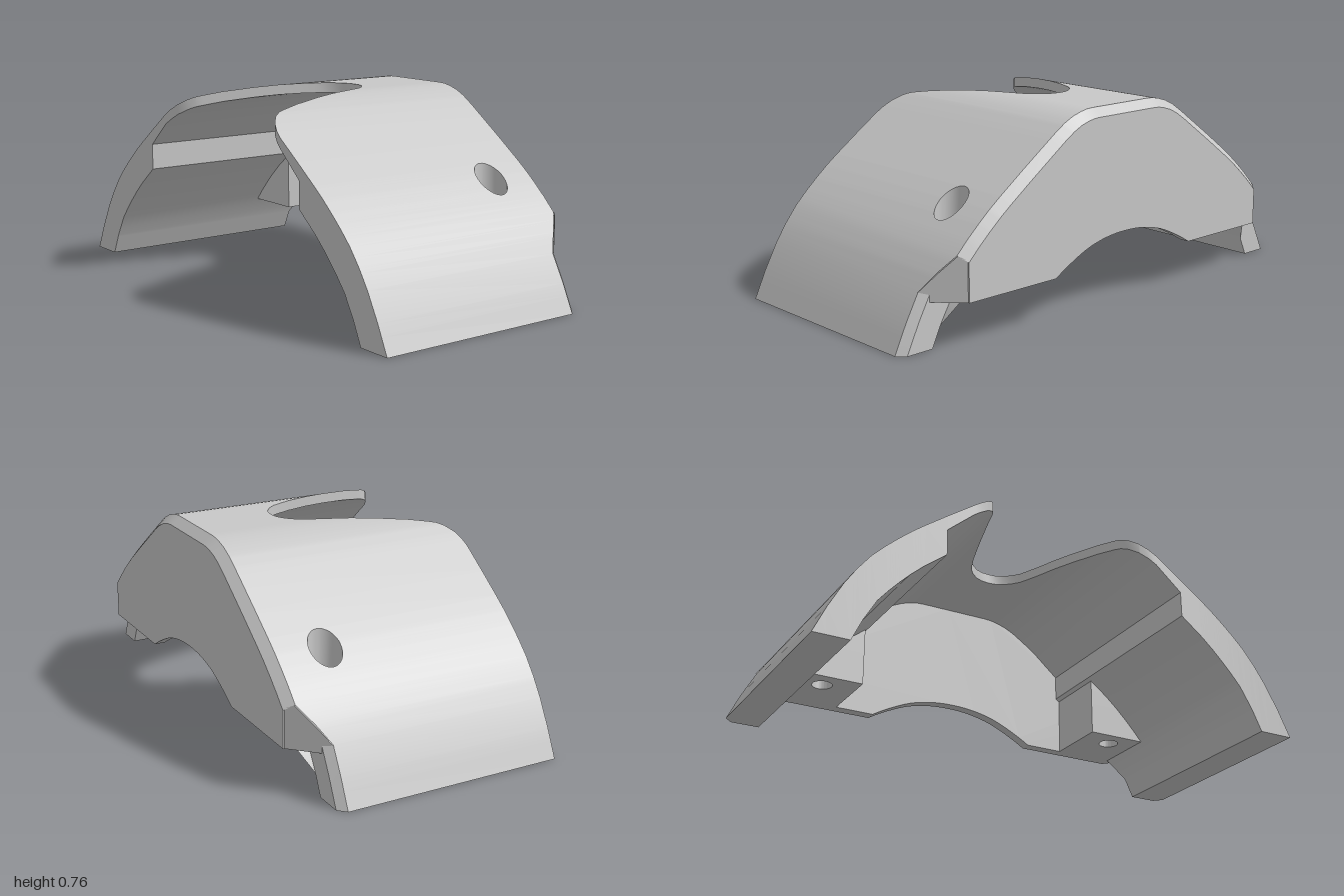
import * as THREE from 'three';
import { toCreasedNormals } from 'three/addons/utils/BufferGeometryUtils.js';

// Half profiles, keyed by distance |z| from the centre plane
const OUTER = [[0, .765], [.15, .765], [.18, .763], [.21, .757], [.25, .745], [.29, .726], [.34, .694], [.4, .652],
  [.5, .582], [.6, .51], [.65, .472], [.7, .43], [.75, .385], [.8, .335], [.85, .272], [.895, .205], [.95, .105], [1, 0]];
const INNER = [[.51, .415], [.6, .345], [.65, .3], [.69, .26], [.73, .217], [.77, .17], [.82, .085], [.86, 0], [1, 0]];
const SKIN = [[0, .04], [.4, .04], [.51, .058]];
const SLOT = [[0, .145], [.03, .142], [.06, .13], [.09, .106], [.115, .075], [.13, .04], [.15, -.01], [.275, -.4],
  [.285, -.425], [.305, -.455], [.335, -.48], [.37, -.495], [.4, -.5], [1, -.5]];
const EDGE = [[0, .465], [.8, .465], [.895, .37], [1, .37]];
const INNER_EDGE = [[0, .455], [.77, .455], [.825, .4], [.97, .4], [1, .37]];
const STEP = .51, HX = .273, HZ = .66, R = .062, RIM = .4, BACK = .455, BASE = .17;

function lerp(table, z) {
  const a = Math.abs(z);
  let i = 1;
  while (i < table.length - 1 && table[i][0] < a) i++;
  const [p, q] = [table[i - 1], table[i]];
  return p[1] + (q[1] - p[1]) * (a - p[0]) / (q[0] - p[0]);
}
const top = z => lerp(OUTER, z);
const under = (z, thin) => thin ? top(z) - lerp(SKIN, z) : lerp(INNER, z);
const holeHalf = z => Math.sqrt(Math.max(0, R * R - (Math.abs(z) - HZ) ** 2));

// Collects quads and triangles of one surface
class Surface {
  constructor() { this.v = []; }
  tri(...p) { p.forEach(c => this.v.push(...c)); }
  quad(a, b, c, d) { this.tri(a, b, c); this.tri(a, c, d); }
  geometry() {
    const g = new THREE.BufferGeometry();
    g.setAttribute('position', new THREE.Float32BufferAttribute(this.v, 3));
    return toCreasedNormals(g, .55);
  }
}

export function createModel() {
  const group = new THREE.Group();
  const grey = new THREE.MeshStandardMaterial({ color: 0xc8c8c8, side: THREE.DoubleSide });
  grey.name = 'grey';
  const add = (name, geometry) => {
    const mesh = new THREE.Mesh(geometry, grey);
    mesh.name = name;
    group.add(mesh);
  };

  // Slices along z at every profile break and round the holes
  const stops = new Set();
  for (const t of [OUTER, INNER, SLOT, EDGE, INNER_EDGE]) t.forEach(p => stops.add(p[0].toFixed(4)));
  for (let i = 0; i <= 16; i++) stops.add((HZ - R * Math.cos(Math.PI * i / 16)).toFixed(4));
  const half = [...stops].map(Number).sort((a, b) => a - b);
  const zs = [...half.slice(1).reverse().map(z => -z), ...half];

  // Shell skins, slot and hole walls
  const skin = new Surface(), lining = new Surface(), walls = new Surface(), bores = new Surface();
  for (let i = 0; i < zs.length - 1; i++) {
    const a = zs[i], b = zs[i + 1], mid = Math.abs(a + b) / 2, thin = mid < STEP;
    const P = (x, z) => [x, top(z), z], Q = (x, z) => [x, under(z, thin), z];
    const xa = lerp(SLOT, a), xb = lerp(SLOT, b), ha = holeHalf(a), hb = holeHalf(b);
    const inHole = Math.abs(mid - HZ) < R;
    const spans = edge => {
      const ea = lerp(edge, a), eb = lerp(edge, b);
      return inHole ? [[xa, HX - ha, xb, HX - hb], [HX + ha, ea, HX + hb, eb]] : [[xa, ea, xb, eb]];
    };
    for (const [l, r, l2, r2] of spans(EDGE))
      skin.quad(P(l, a), P(l2, b), P(r2, b), P(r, a));
    for (const [l, r, l2, r2] of spans(INNER_EDGE))
      lining.quad(Q(l, a), Q(r, a), Q(r2, b), Q(l2, b));
    walls.quad(P(xa, a), Q(xa, a), Q(xb, b), P(xb, b));
    if (inHole) {
      bores.quad(P(HX - ha, a), P(HX - hb, b), Q(HX - hb, b), Q(HX - ha, a));
      bores.quad(P(HX + ha, a), Q(HX + ha, a), Q(HX + hb, b), P(HX + hb, b));
    }
  }
  add('outerSkin', skin.geometry());
  add('innerSkin', lining.geometry());
  add('slotWalls', walls.geometry());
  add('boreWalls', bores.geometry());

  // Inset copy of the roof line for the bevelled end
  const inset = z => {
    const s = (top(z + .004) - top(z - .004)) / .008, n = Math.hypot(1, s);
    return [z + s / n * .032, top(z) - .032 / n];
  };
  const roof = zs.filter(z => Math.abs(z) <= .8);
  const bevel = new Surface();
  for (let i = 0; i < roof.length - 1; i++) {
    const [a, b] = [roof[i], roof[i + 1]], [za, ya] = inset(a), [zb, yb] = inset(b);
    bevel.quad([.465, top(a), a], [.465, top(b), b], [.5, yb, zb], [.5, ya, za]);
  }
  add('endBevel', bevel.geometry());

  // End plate with an arched lower edge
  const line = roof.map(inset);
  const arch = new THREE.SplineCurve([[.365, BASE], [.3, .207], [.2, .252], [.1, .276], [0, .283],
    [-.1, .276], [-.2, .252], [-.3, .207], [-.365, BASE]].map(p => new THREE.Vector2(...p))).getPoints(32);
  const outline = [...line.map(p => new THREE.Vector2(...p)),
    new THREE.Vector2(line.at(-1)[0], BASE), ...arch, new THREE.Vector2(line[0][0], BASE)];
  // Shape x becomes -z after the turn; the outline is symmetric
  const plate = new THREE.ExtrudeGeometry(new THREE.Shape(outline), { depth: .5 - BACK, bevelEnabled: false });
  plate.rotateY(Math.PI / 2).translate(BACK, 0, 0);
  add('endPlate', toCreasedNormals(plate, .4));

  for (const s of [1, -1]) {
    const side = s > 0 ? 'front' : 'back';

    // Step where the thin roof meets the thick leg
    const step = new Surface(), stepTop = under(STEP, true), stepLow = under(STEP, false);
    step.quad([-.5, stepLow, s * STEP], [BACK, stepLow, s * STEP],
      [BACK, stepTop, s * STEP], [-.5, stepTop, s * STEP]);
    add(side + 'Step', step.geometry());

    // Angled corner of the end plate, with its underside
    const corner = new Surface();
    const C = (z, y) => [1.27 - z, y, s * z];
    const face = [C(.77, BASE), C(.77, .317), C(.8, .335), C(.85, .272), C(.898, .205), C(.87, .2), C(.87, BASE)];
    for (let i = 1; i < face.length - 1; i++) corner.tri(face[0], face[i], face[i + 1]);
    corner.tri([.5, BASE, s * .77], [RIM, BASE, s * .87], [RIM, BASE, s * .77]);
    add(side + 'Corner', corner.geometry());

    // Bevel and end face of the leg
    const leg = new Surface();
    const rows = [[.895, .205], [.95, .105], [1, 0]];
    for (let i = 0; i < 2; i++) {
      const [[z, y], [z2, y2]] = [rows[i], rows[i + 1]];
      leg.quad([.37, y, s * z], [.37, y2, s * z2], [RIM, y2, s * (z2 - .03)], [RIM, y, s * (z - .03)]);
    }
    const cap = [[.86, 0], [.97, 0], [.92, .105], [.865, .205], [.77, .205], [.77, .17], [.82, .085]];
    const capGeo = new THREE.ShapeGeometry(new THREE.Shape(cap.map(p => new THREE.Vector2(-s * p[0], p[1]))));
    capGeo.rotateY(Math.PI / 2).translate(RIM, 0, 0);
    add(side + 'LegBevel', leg.geometry());
    add(side + 'LegEnd', capGeo);

    // Screw boss: narrow hole below, wide recess above, solid web up to the shell
    const parts = [['Boss', BASE, .13, .77, .04], ['BossRecess', .3, .06, .77, R], ['BossWeb', .36, .06, .59, 0]];
    for (const [name, y, h, far, r] of parts) {
      const block = new THREE.Shape([[.187, .525], [.47, .525], [.47, far], [.187, far]]
        .map(p => new THREE.Vector2(p[0], -s * p[1])));
      if (r) block.holes.push(new THREE.Path().absarc(HX, -s * HZ, r, 0, Math.PI * 2, true));
      const g = new THREE.ExtrudeGeometry(block, { depth: h, bevelEnabled: false, curveSegments: 32 });
      g.rotateX(-Math.PI / 2).translate(0, y, 0);
      add(side + name, toCreasedNormals(g, .5));
    }
  }
  return group;
}
